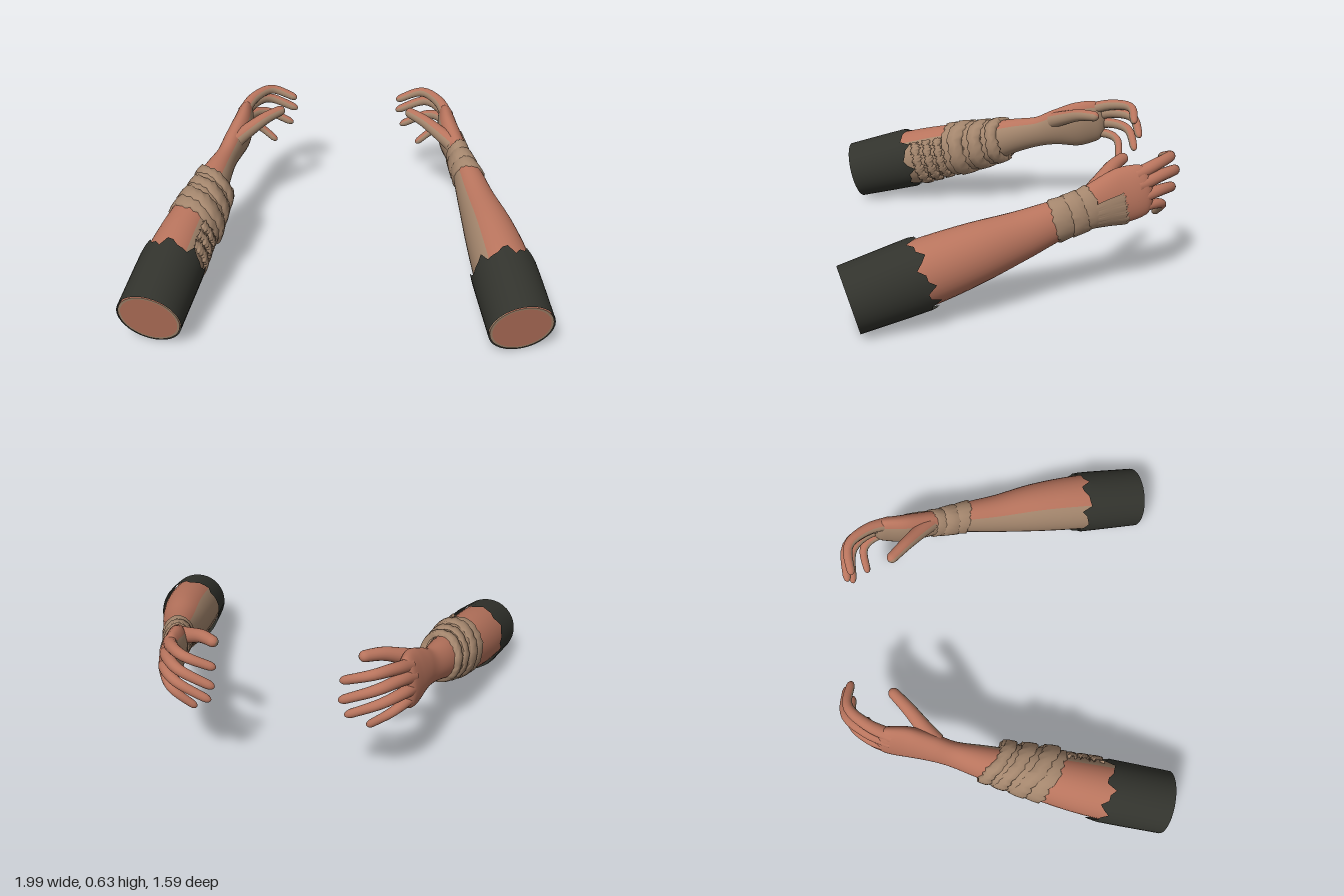
import * as THREE from 'three';

const skin = new THREE.MeshStandardMaterial({ color: 0xb8745d, side: THREE.DoubleSide });
skin.name = 'skin';
const tan = new THREE.MeshStandardMaterial({ color: 0xa4866d, side: THREE.DoubleSide });
tan.name = 'tan';
const cloth = new THREE.MeshStandardMaterial({ color: 0x32332d, side: THREE.DoubleSide });
cloth.name = 'dark cloth';

const TAU = Math.PI * 2;
const curve = pts => new THREE.CatmullRomCurve3(pts.map(p => new THREE.Vector3(...p)), false, 'catmullrom', 0.5);

// Grid of points fn(i, j), with one material group per colour; side -1 mirrors it in x
function grid(name, rows, cols, closed, side, fn, mats, pick = () => 0) {
  const n = closed ? cols : cols + 1, pos = [], lists = mats.map(() => []);
  for (let i = 0; i <= rows; i++) {
    for (let j = 0; j < n; j++) {
      const p = fn(i, j);
      pos.push(p.x * side, p.y, p.z);
    }
  }
  for (let i = 0; i < rows; i++) {
    for (let j = 0; j < cols; j++) {
      const k = (j + 1) % n, a = i * n + j, b = i * n + k, c = a + n, d = b + n;
      lists[pick(i, j)].push(...(side > 0 ? [a, c, b, b, c, d] : [a, b, c, b, d, c]));
    }
  }
  const g = new THREE.BufferGeometry();
  g.setAttribute('position', new THREE.Float32BufferAttribute(pos, 3));
  g.setIndex(lists.flat());
  let start = 0;
  lists.forEach((l, m) => { g.addGroup(start, l.length, m); start += l.length; });
  g.computeVertexNormals();
  const mesh = new THREE.Mesh(g, mats.length > 1 ? mats : mats[0]);
  mesh.name = name;
  return mesh;
}

// Point around a path: angle 0 is the outer (back of hand) side, 90 degrees is up
function around(path, t, angle, a, b, tilt = 0) {
  const p = path.getPoint(t), d = path.getTangent(t);
  const u = new THREE.Vector3(-d.z, 0, d.x).normalize();
  const v = new THREE.Vector3().crossVectors(u, d);
  const x = a * Math.cos(angle), y = b * Math.sin(angle);
  return p.addScaledVector(u, x * Math.cos(tilt) - y * Math.sin(tilt))
    .addScaledVector(v, x * Math.sin(tilt) + y * Math.cos(tilt));
}

// Arm centre line, and its half width, half height and twist
const armPath = curve([
  [.845, .158, .745], [.785, .24, .43], [.735, .30, .2], [.685, .35, 0], [.65, .395, -.15],
  [.615, .425, -.28], [.585, .455, -.38], [.56, .475, -.48], [.55, .495, -.57], [.54, .505, -.64]]);
const armSize = curve([
  [.148, .148, 0], [.14, .153, 0], [.122, .14, 0], [.094, .115, .05], [.076, .096, .1],
  [.056, .086, .15], [.058, .105, .15], [.058, .128, .15], [.048, .123, .15], [.034, .10, .15]]);

function armPoint(t, angle, off = 0, scale = 1) {
  const s = armSize.getPoint(t);
  if (t > .92) scale *= Math.sqrt(Math.max(0, 1 - ((t - .92) / .08) ** 2));
  return around(armPath, t, angle, (s.x + off) * scale, (s.y + off) * scale, s.z);
}

// The palm side is tan, the back is skin
const palmSide = (j, cols) => {
  const deg = (j + .5) / cols * 360;
  return deg > 132 && deg < 272 ? 1 : 0;
};
const ragged = (j, seed) => Math.sin(j * 2.7 + seed) * .6 + Math.sin(j * 5.3 + seed * 2) * .4;

const fingers = {
  indexFinger: [.033, [.55, .565, -.55], [.50, .60, -.66], [.41, .607, -.75], [.275, .56, -.74]],
  middleFinger: [.034, [.565, .52, -.56], [.52, .55, -.67], [.43, .545, -.768], [.275, .48, -.772]],
  ringFinger: [.032, [.575, .46, -.55], [.54, .485, -.66], [.45, .47, -.75], [.30, .40, -.755]],
  littleFinger: [.029, [.575, .41, -.53], [.55, .425, -.63], [.49, .40, -.70], [.39, .32, -.69]],
  thumb: [.043, [.57, .50, -.35], [.50, .535, -.41], [.42, .57, -.475], [.33, .585, -.555]],
};

function finger(name, [radius, ...pts], side) {
  const path = curve(pts), rows = 18, cols = 18;
  return grid(name, rows, cols, true, side, (i, j) => {
    const t = Math.sin(i / rows * Math.PI / 2);
    let r = radius * (1 - .4 * t);
    if (t > .93) r *= Math.sqrt(Math.max(0, 1 - ((t - .93) / .07) ** 2));
    return around(path, t, j / cols * TAU, r, r);
  }, [skin, tan], (i, j) => palmSide(j, cols));
}

// Cloth strip wrapped round the arm, slanted and frayed at its edges
function wrap(name, side, t0, t1, { seed = 0, slant = 0, fray = .006, lift = .012, flare = 0, from = 0, to = TAU } = {}) {
  const cols = 36, closed = to - from > 6.2;
  const edge = [0, .08, .5, .92, 1], offs = [.002, 1, 1.1, 1, .002];
  return grid(name, 4, cols, closed, side, (i, j) => {
    const ang = from + j / cols * (to - from);
    const t = t0 + (t1 - t0) * edge[i] + slant * Math.cos(ang)
      + fray * ragged(j, seed + (i > 2 ? 4 : 0));
    const off = lift * offs[i] + flare * Math.max(0, -Math.cos(ang)) * (i > 0 && i < 4 ? 1 : .5);
    return armPoint(t, ang, off);
  }, [tan]);
}

function buildArm(side) {
  const arm = new THREE.Group();
  arm.name = side > 0 ? 'leftArm' : 'rightArm';

  // Forearm and palm in one smooth loft
  const rows = 60, cols = 36;
  arm.add(grid('forearmAndHand', rows, cols, true, side,
    (i, j) => armPoint(i / rows, j / cols * TAU), [skin, tan], (i, j) => palmSide(j, cols)));

  // Flat end of the arm with a tan rim
  const rings = [0, .92, 1];
  arm.add(grid('armEnd', 2, cols, true, side,
    (i, j) => armPoint(0, j / cols * TAU, 0, rings[i]), [skin, tan], i => i));

  // Sleeve with a torn front edge
  arm.add(grid('sleeve', 8, cols, true, side, (i, j) => {
    const t = i / 8 * (.112 + (i === 8 ? .014 * ragged(j / 2, 1) : 0));
    return armPoint(t, j / cols * TAU, .007 + .008 * i / 8);
  }, [cloth]));

  for (const [name, spec] of Object.entries(fingers)) arm.add(finger(name, spec, side));
  return arm;
}

export function createModel() {
  const model = new THREE.Group();
  model.name = 'armPair';
  const left = buildArm(1), right = buildArm(-1);

  // Wrist bandage on the left arm, with a flap over the back of the hand
  for (let k = 0; k < 3; k++) {
    left.add(wrap('wristBandage', 1, .455 + k * .05, .53 + k * .05,
      { seed: k * 2, slant: (k - 1) * .012, lift: .009 + (k % 2) * .005 }));
  }
  left.add(wrap('handBandage', 1, .59, .79,
    { seed: 3, fray: .012, lift: .009, from: -1.5, to: .2 }));

  // Forearm bandage on the right arm, loose on the inner side
  for (let k = 0; k < 6; k++) {
    right.add(wrap('forearmBandage', -1, .225 + k * .028, .268 + k * .028,
      { seed: k * 3, slant: .03 * (k % 2 ? 1 : .6), lift: .012 + (k % 2) * .006, flare: .012 + (k % 2) * .012 }));
  }
  // Loose strips on the inner side
  for (let k = 0; k < 3; k++) {
    right.add(wrap('looseStrip', -1, .135 + k * .03, .155 + k * .03,
      { seed: k + 5, slant: .01, lift: .012, flare: .008, from: 2.4, to: 4.4 }));
  }

  model.add(left, right);
  return model;
}
